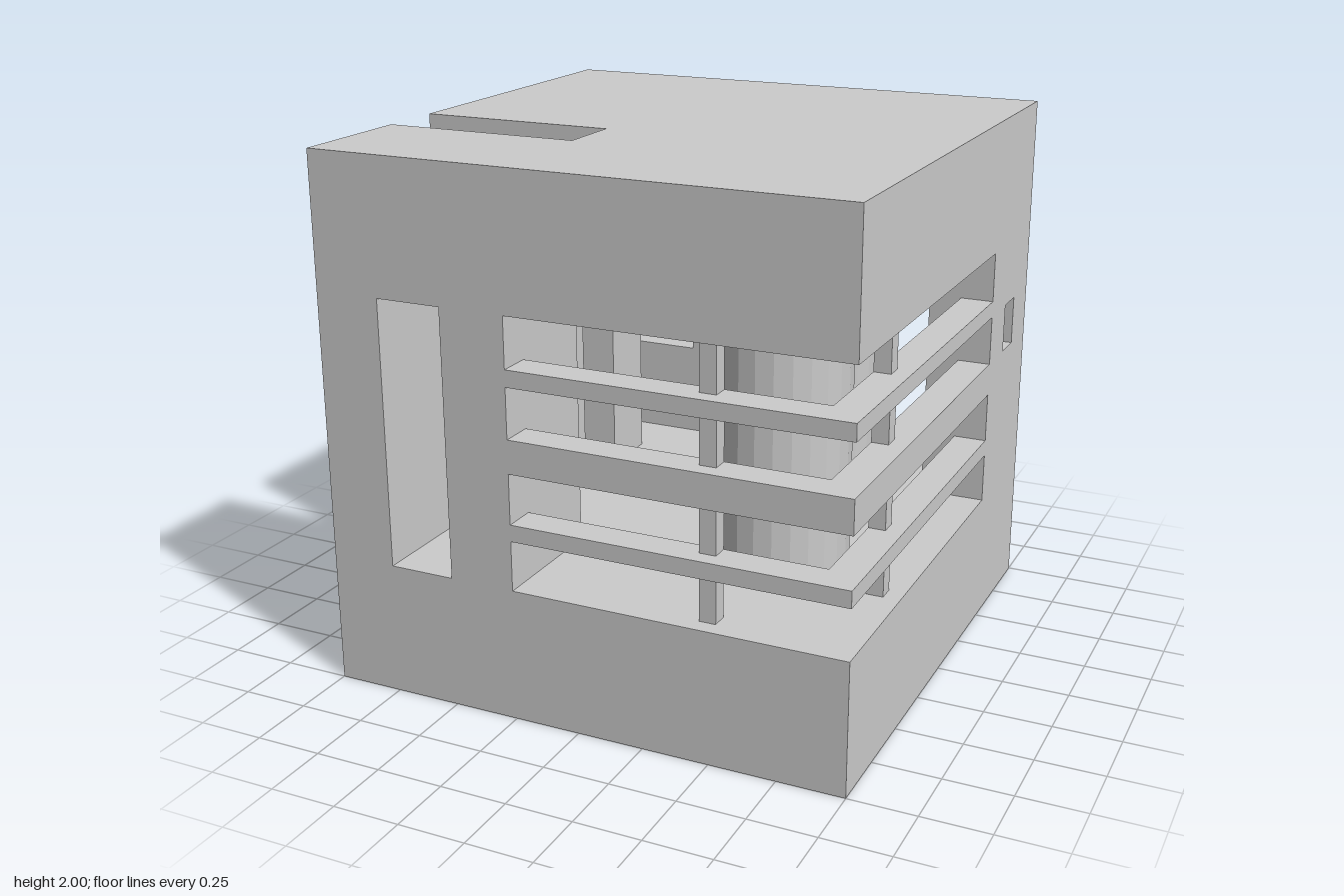
import * as THREE from 'three';

const material = new THREE.MeshStandardMaterial({ color: 0xcccccc, flatShading: true });

export function createModel() {
  const group = new THREE.Group();
  const add = (name, geometry) => {
    const mesh = new THREE.Mesh(geometry, material);
    mesh.name = name;
    group.add(mesh);
    return mesh;
  };
  // box given by its limits
  const block = (name, x0, x1, y0, y1, z0, z1) =>
    add(name, new THREE.BoxGeometry(x1 - x0, y1 - y0, z1 - z0)
      .translate((x0 + x1) / 2, (y0 + y1) / 2, (z0 + z1) / 2));
  // plan outline of [x, z] points raised from y0 to y1
  const raise = (name, plan, y0, y1) => {
    const shape = new THREE.Shape(plan.map(([x, z]) => new THREE.Vector2(x, -z)));
    return add(name, new THREE.ExtrudeGeometry(shape, { depth: y1 - y0, bevelEnabled: false })
      .rotateX(-Math.PI / 2).translate(0, y0, 0));
  };
  const rect = (Type, a0, a1, b0, b1) => new Type([[a0, b0], [a1, b0], [a1, b1], [a0, b1]]
    .map(([a, b]) => new THREE.Vector2(a, b)));
  // upright panel with rectangular openings
  const panel = (a0, a1, openings, depth) => {
    const shape = rect(THREE.Shape, a0, a1, 0.5, 1.5);
    shape.holes = openings.map(o => rect(THREE.Path, ...o));
    return new THREE.ExtrudeGeometry(shape, { depth, bevelEnabled: false });
  };

  // floor and notched roof
  block('floor', -1, 1, 0, 0.5, -1, 1);
  raise('roof', [[-1, -1], [1, -1], [1, 1], [-1, 1], [-1, 0.5], [-0.25, 0.5], [-0.25, 0.25], [-1, 0.25]], 1.5, 2);

  // front wall either side of its slot
  block('frontWallOuter', -1, -0.75, 0.5, 1.5, 0.5, 1);
  block('frontWallInner', -0.5, -0.25, 0.5, 1.5, 0.5, 1);

  // piers between the side slots
  for (const z of [0, -0.5]) block('sidePier', -1, -0.5, 0.5, 1.5, z, z + 0.25);

  // back wall with three louvre openings
  const louvres = [0.875, 1.0625, 1.25].map(y => [-0.75, -0.375, y, y + 0.125]);
  add('backWall', panel(-1, -0.25, louvres, 0.25).translate(0, 0, -1));

  // right wall with a small window (panel drawn in -z, y)
  add('rightWall', panel(0.5, 1, [[0.6875, 0.8125, 1.0625, 1.25]], 0.25)
    .rotateY(Math.PI / 2).translate(0.75, 0, 0));

  // sunshade rails wrapping the open corner
  const w = 0.875;
  const rail = [[-0.25, 1], [1, 1], [1, -0.5], [w, -0.5], [w, w], [-0.25, w]];
  for (const [y0, y1] of [[0.6875, 0.75], [0.9375, 1.0625], [1.25, 1.3125]]) raise('cornerRail', rail, y0, y1);

  // slim posts carrying the rails
  block('frontPost', 0.4375, 0.5, 0.5, 1.5, 0.875, 0.9375);
  block('sidePost', 0.875, 0.9375, 0.5, 1.5, 0.4375, 0.5);

  // two round columns
  for (const [x, z] of [[0.5, 0.375], [0.25, -0.625]]) {
    add('column', new THREE.CylinderGeometry(0.25, 0.25, 1, 24)).position.set(x, 1, z);
  }

  // waisted web joining the upper halves of the columns
  const curve = (...p) => new THREE.QuadraticBezierCurve(...p.map(q => new THREE.Vector2(...q)))
    .getPoints(6).map(v => [v.x, v.y]);
  raise('columnWeb', [
    ...curve([0.71, 0.25], [0.3, 0], [0.48, -0.55]),
    ...curve([0.01, -0.6], [0.25, -0.25], [0.255, 0.35]),
  ], 1, 1.5);

  return group;
}
